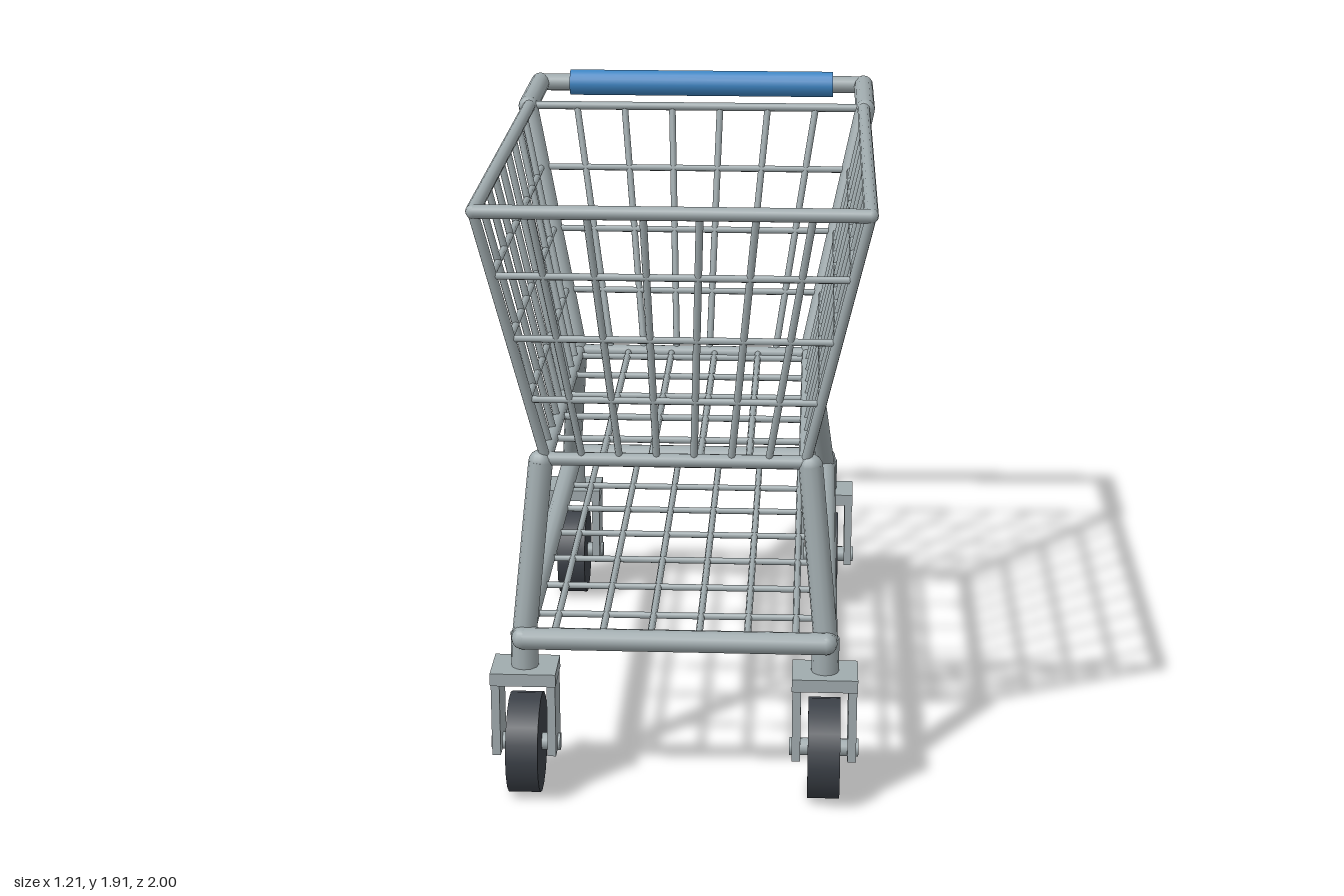
import * as THREE from 'three';

const steel = new THREE.MeshStandardMaterial({ color: 0xa0abae });
steel.name = 'steel';
const rubber = new THREE.MeshStandardMaterial({ color: 0x3c4148 });
rubber.name = 'dark rubber';
const blue = new THREE.MeshStandardMaterial({ color: 0x3f86c4 });
blue.name = 'blue grip';

const V = (x, y, z) => new THREE.Vector3(x, y, z);
const UP = V(0, 1, 0);

export function createModel() {
  const cart = new THREE.Group();
  cart.name = 'shoppingCart';

  function part(name) {
    const g = new THREE.Group();
    g.name = name;
    cart.add(g);
    return g;
  }
  function add(parent, name, geometry, material, pos) {
    const m = new THREE.Mesh(geometry, material);
    m.name = name;
    m.position.copy(pos);
    parent.add(m);
    return m;
  }
  // Straight round bar between two points
  function bar(parent, name, a, b, r, material = steel, sides = 12) {
    const d = b.clone().sub(a);
    const m = add(parent, name, new THREE.CylinderGeometry(r, r, d.length(), sides), material, a.clone().lerp(b, 0.5));
    m.quaternion.setFromUnitVectors(UP, d.normalize());
    return m;
  }
  // Chain of bars with rounded joints
  function pipe(parent, name, points, r, closed = false) {
    points.forEach((p, i) => {
      add(parent, name + 'Joint', new THREE.SphereGeometry(r, 12, 8), steel, p);
      if (closed || i < points.length - 1) bar(parent, name, p, points[(i + 1) % points.length], r);
    });
  }
  // Corners of a horizontal rectangle: front left, front right, back right, back left
  const rect = (x, y, zf, zb) => [V(x, y, zf), V(-x, y, zf), V(-x, y, zb), V(x, y, zb)];

  const top = rect(0.565, 1.865, 0.978, -0.545);
  const bottom = rect(0.39, 1.06, 0.785, -0.345);
  const WIRE = 0.011;

  // Basket rims
  const basket = part('basket');
  pipe(basket, 'topRim', [top[3], top[0], top[1], top[2]], 0.021);
  bar(basket, 'backRim', top[2], top[3], 0.014);
  pipe(basket, 'bottomRim', bottom, 0.021, true);
  for (const i of [0, 1]) bar(basket, 'frontCornerPost', bottom[i], top[i], 0.016);

  // Basket walls: uprights fan out, with three horizontal rows
  for (let i = 0; i < 4; i++) {
    const j = (i + 1) % 4;
    const n = i % 2 ? 9 : 7;
    for (let k = 1; k < n; k++) {
      bar(basket, 'wallWire', bottom[i].clone().lerp(bottom[j], k / n), top[i].clone().lerp(top[j], k / n), WIRE, steel, 8);
    }
    for (let k = 1; k < 4; k++) {
      bar(basket, 'wallRow', bottom[i].clone().lerp(top[i], k / 4), bottom[j].clone().lerp(top[j], k / 4), WIRE, steel, 8);
    }
  }

  // Basket floor grid
  for (const x of [-0.22, -0.073, 0.073, 0.22]) {
    bar(basket, 'floorWire', V(x, 1.06, 0.785), V(x, 1.06, -0.345), WIRE, steel, 8);
  }
  for (let k = 0; k < 5; k++) {
    const z = 0.594 - 0.218 * k;
    bar(basket, 'floorCrossWire', V(-0.39, 1.06, z), V(0.39, 1.06, z), WIRE, steel, 8);
  }

  // Lower shelf
  const shelf = part('lowerShelf');
  pipe(shelf, 'shelfFrame', rect(0.46, 0.515, 0.88, -0.85), 0.034, true);
  for (let k = 0; k < 6; k++) {
    const x = (k - 2.5) * 0.147;
    bar(shelf, 'shelfWire', V(x, 0.515, 0.88), V(x, 0.515, -0.85), WIRE, steel, 8);
  }
  for (let k = 0; k < 7; k++) {
    const z = 0.68 - 0.236 * k;
    bar(shelf, 'shelfCrossWire', V(-0.46, 0.515, z), V(0.46, 0.515, z), WIRE, steel, 8);
  }

  // Legs, uprights and handle arms on both sides
  const frame = part('frame');
  for (const s of [1, -1]) {
    pipe(frame, 'frontLeg', [V(s * 0.405, 1.05, 0.785), V(s * 0.458, 0.515, 0.84)], 0.037);
    pipe(frame, 'rearFrame', [
      V(s * 0.458, 0.52, -0.74),
      V(s * 0.395, 1.06, -0.35),
      V(s * 0.57, 1.862, -0.545),
      V(s * 0.57, 1.865, -0.953),
    ], 0.033);
  }

  // Push handle
  const handle = part('handle');
  bar(handle, 'handleBar', V(-0.57, 1.865, -0.955), V(0.57, 1.865, -0.955), 0.03);
  bar(handle, 'handleGrip', V(-0.463, 1.865, -0.955), V(0.463, 1.865, -0.955), 0.045, blue, 16);

  // Four casters
  for (const x of [0.458, -0.458]) {
    for (const z of [0.842, -0.804]) {
      const caster = part('caster');
      caster.position.set(x, 0, z);
      bar(caster, 'stem', V(0, 0.4, 0), V(0, 0.52, 0), 0.042);
      add(caster, 'forkTop', new THREE.BoxGeometry(0.2, 0.04, 0.155), steel, V(0, 0.392, 0));
      for (const s of [1, -1]) {
        add(caster, 'forkSide', new THREE.BoxGeometry(0.026, 0.26, 0.145), steel, V(s * 0.085, 0.27, 0));
      }
      bar(caster, 'axle', V(-0.106, 0.157, 0), V(0.106, 0.157, 0), 0.027);
      bar(caster, 'wheel', V(-0.049, 0.155, 0), V(0.049, 0.155, 0), 0.155, rubber, 18);
    }
  }
  return cart;
}
